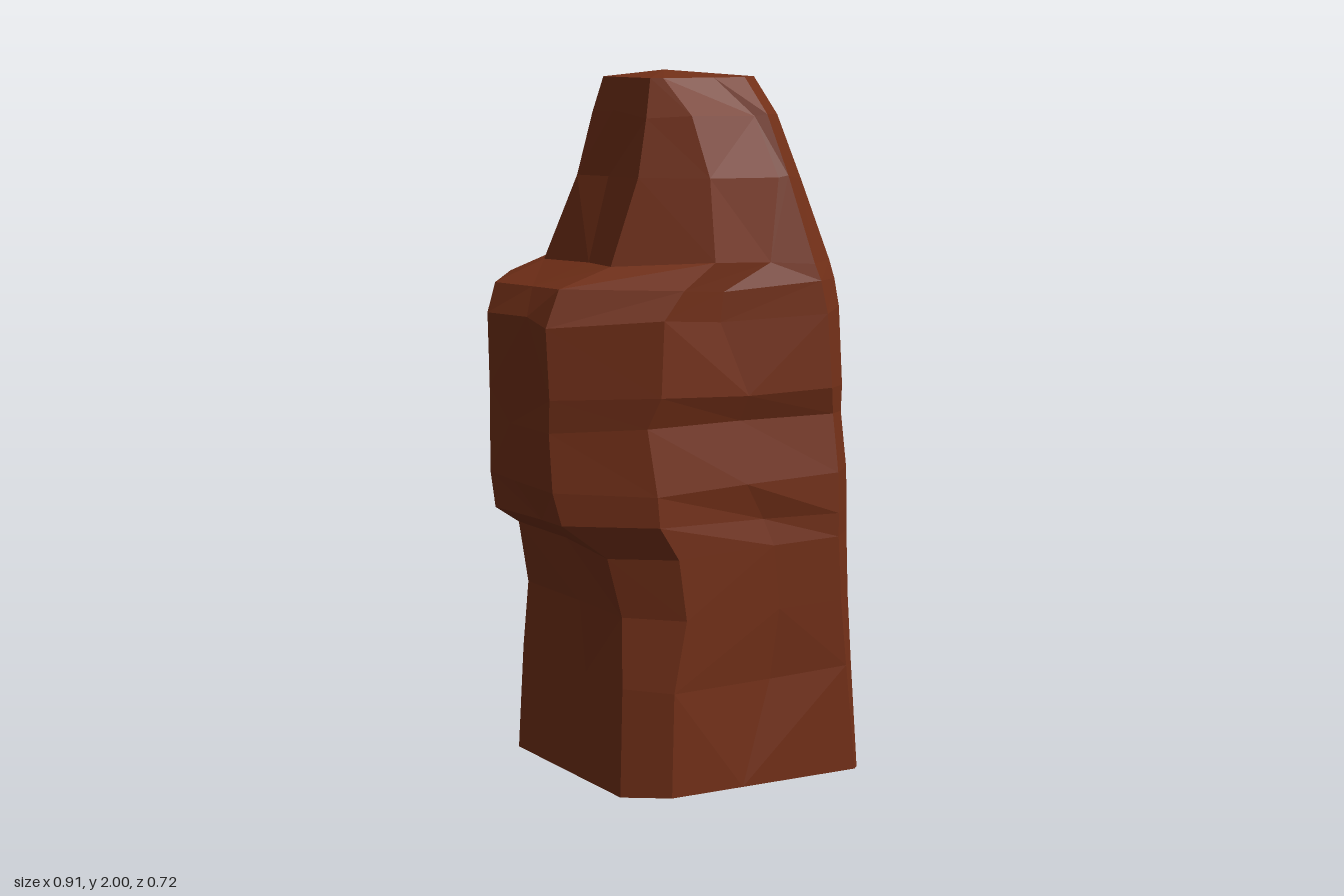
import * as THREE from 'three';

// Small seeded generator, returns -1..1
function makeNoise(seed) {
  return () => {
    seed = (seed * 16807) % 2147483647;
    return (seed / 2147483647) * 2 - 1;
  };
}

// Cross-sections: y, xMin, xMax, zMin, zMax, then corner cuts
// at front left, back left, back right, front right
const LEVELS = [
  [0.00, -0.30, 0.45, -0.36, 0.36, 0.02, 0.02, 0.02, 0.08],
  [0.30, -0.29, 0.45, -0.355, 0.355, 0.05, 0.04, 0.03, 0.08],
  [0.50, -0.28, 0.45, -0.35, 0.355, 0.07, 0.08, 0.04, 0.10],
  [0.68, -0.32, 0.45, -0.35, 0.355, 0.08, 0.10, 0.06, 0.11],
  [0.76, -0.44, 0.45, -0.35, 0.355, 0.08, 0.08, 0.15, 0.15],
  [0.86, -0.46, 0.45, -0.35, 0.35, 0.08, 0.07, 0.16, 0.16],
  [1.03, -0.46, 0.45, -0.35, 0.32, 0.08, 0.06, 0.16, 0.15],
  [1.11, -0.46, 0.45, -0.35, 0.345, 0.10, 0.06, 0.16, 0.17],
  [1.32, -0.46, 0.45, -0.35, 0.335, 0.11, 0.08, 0.15, 0.18],
  [1.41, -0.41, 0.45, -0.35, 0.33, 0.13, 0.11, 0.10, 0.19],
  [1.47, -0.26, 0.445, -0.335, 0.32, 0.14, 0.12, 0.10, 0.16],
  [1.70, -0.17, 0.37, -0.27, 0.265, 0.12, 0.09, 0.07, 0.11],
  [1.88, -0.13, 0.31, -0.22, 0.20, 0.09, 0.05, 0.04, 0.07],
  [1.98, -0.10, 0.275, -0.19, 0.12, 0.08, 0.02, 0.02, 0.02],
];

// Cut rectangle with a roughened point in the middle of each side
function ring([y, x0, x1, z0, z1, fl, bl, br, fr], index, noise) {
  const edge = index === 0 || index === LEVELS.length - 1;
  const lift = index === 0 ? 0.05 : 0;
  const dent = () => (edge ? 0 : 0.012 + 0.012 * noise());
  const mx = (x0 + x1) / 2 + 0.08 * noise();
  const mz = (z0 + z1) / 2 + 0.06 * noise();
  const wob = () => (edge ? 0 : 0.012 * noise());
  return [
    [x1 - fl, y + wob(), z1],
    [x1, y + wob(), z1 - fl],
    [x1 - dent(), y + lift + wob(), mz],
    [x1, y + wob(), z0 + bl],
    [x1 - bl, y + wob(), z0],
    [mx, y + lift + wob(), z0 + dent()],
    [x0 + br, y + wob(), z0],
    [x0, y + wob(), z0 + br],
    [x0 + dent(), y + wob(), mz],
    [x0, y + wob(), z1 - fr],
    [x0 + 1.5 * fr, y + wob(), z1],
    [mx + 0.05, y + wob(), z1 - dent()],
  ];
}

function rockGeometry() {
  const noise = makeNoise(4711);
  const rings = LEVELS.map((level, i) => ring(level, i, noise));
  const n = rings[0].length;
  const positions = [];
  const tri = (a, b, c) => positions.push(...a, ...b, ...c);

  // Sides, with the diagonal swapped irregularly
  for (let r = 0; r < rings.length - 1; r++) {
    for (let i = 0; i < n; i++) {
      const k = (i + 1) % n;
      const a = rings[r][i], b = rings[r][k];
      const c = rings[r + 1][k], d = rings[r + 1][i];
      if (noise() > 0) {
        tri(a, b, c);
        tri(a, c, d);
      } else {
        tri(a, b, d);
        tri(b, c, d);
      }
    }
  }

  // Base and blunt tip
  const first = rings[0], last = rings[rings.length - 1];
  const baseCentre = [0.08, 0.02, 0], tipCentre = [0.03, 2, -0.05];
  for (let i = 0; i < n; i++) {
    const k = (i + 1) % n;
    tri(baseCentre, first[k], first[i]);
    tri(tipCentre, last[i], last[k]);
  }

  const geometry = new THREE.BufferGeometry();
  geometry.setAttribute('position', new THREE.Float32BufferAttribute(positions, 3));
  geometry.computeVertexNormals();
  return geometry;
}

export function createModel() {
  const group = new THREE.Group();
  group.name = 'rockPillar';
  const material = new THREE.MeshStandardMaterial({ color: 0x733018, flatShading: true });
  const rock = new THREE.Mesh(rockGeometry(), material);
  rock.name = 'rock';
  group.add(rock);
  return group;
}
